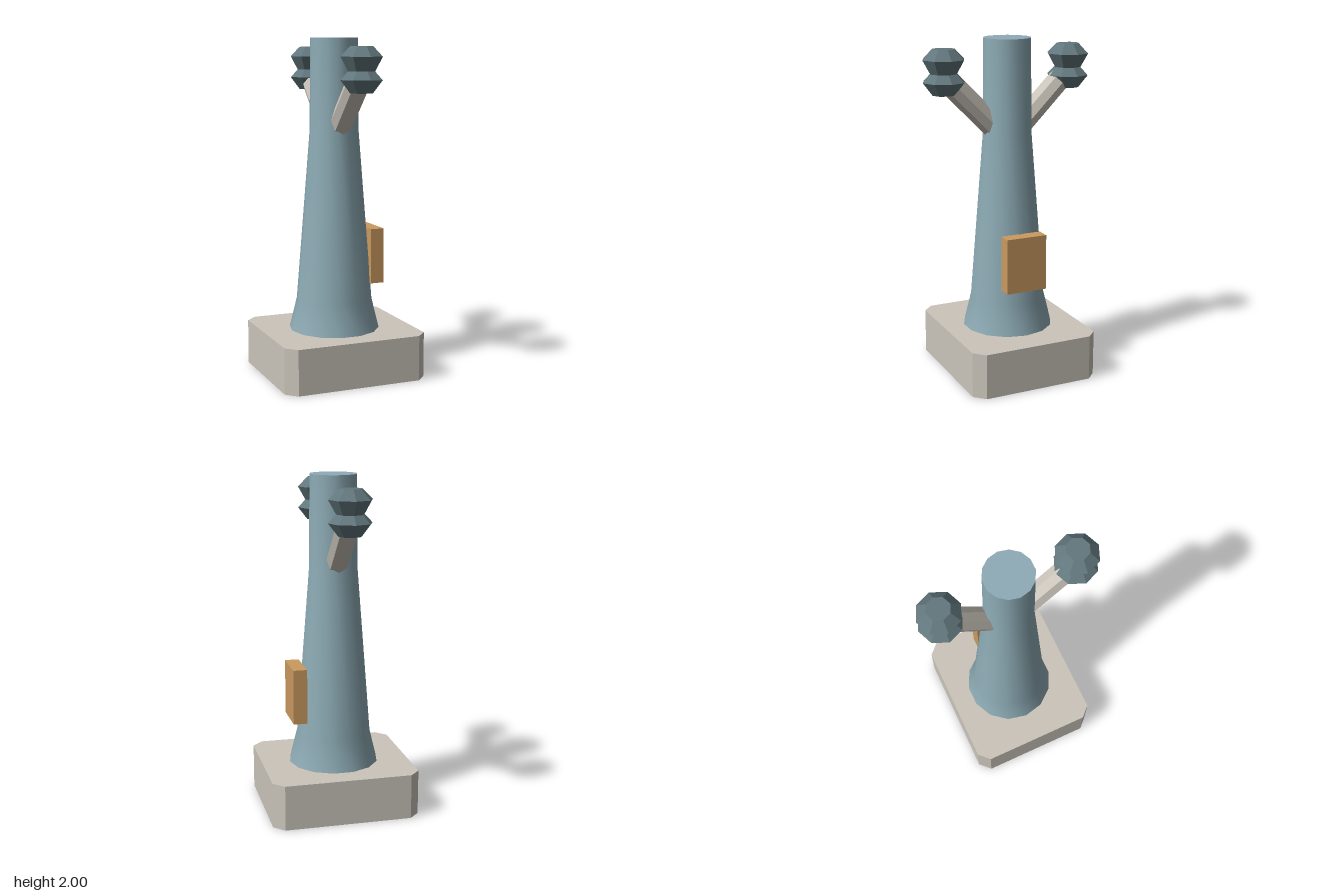
import * as THREE from 'three';

const paint = (name, color, extra = {}) => {
  const m = new THREE.MeshStandardMaterial({ color, ...extra });
  m.name = name;
  return m;
};

export function createModel() {
  const model = new THREE.Group();
  const stone = paint('pale stone', 0xcbc5bb, { flatShading: true });
  const blue = paint('blue grey', 0x8eacb6);
  const dark = paint('dark slate', 0x62777d, { flatShading: true });
  const orange = paint('ochre', 0xcb9a60, { flatShading: true });

  const add = (name, geometry, material, parent = model) => {
    const mesh = new THREE.Mesh(geometry, material);
    mesh.name = name;
    parent.add(mesh);
    return mesh;
  };
  const lathe = (points, sides, start = 0) =>
    new THREE.LatheGeometry(points.map(([r, y]) => new THREE.Vector2(r, y)), sides, start);

  // Plinth: rectangle with chamfered corners
  const w = 0.44, d = 0.395, c = 0.062;
  const outline = new THREE.Shape([
    [w, -d + c], [w, d - c], [w - c, d], [-w + c, d],
    [-w, d - c], [-w, -d + c], [-w + c, -d], [w - c, -d],
  ].map(([x, y]) => new THREE.Vector2(x, y)));
  const plinth = new THREE.ExtrudeGeometry(outline, { depth: 0.27, bevelEnabled: false });
  plinth.rotateX(-Math.PI / 2);
  add('plinth', plinth, stone);

  // Tapered column with flared foot
  add('column', lathe([[0.27, 0.27], [0.226, 0.45], [0.145, 1.46], [0.14, 2]], 14, Math.PI / 2), blue);
  const cap = add('columnTop', new THREE.CircleGeometry(0.14, 14), blue);
  cap.rotation.x = -Math.PI / 2;
  cap.position.y = 2;

  // Box mounted on the side of the column
  add('sideBox', new THREE.BoxGeometry(0.083, 0.33, 0.25), orange).position.set(0.2285, 0.71, 0);

  // Front and back branches, each carrying a double faceted knob
  const knobProfile = [
    [0, 1.692], [0.068, 1.692], [0.125, 1.765], [0.08, 1.812],
    [0.125, 1.892], [0.068, 1.95], [0, 1.95],
  ];
  for (const [side, s] of [['front', 1], ['back', -1]]) {
    const branch = new THREE.Group();
    branch.name = side + 'Branch';
    model.add(branch);

    const arm = add(side + 'Arm', new THREE.CylinderGeometry(0.069, 0.069, 0.368, 8), stone, branch);
    arm.rotation.x = s * Math.PI / 4;
    arm.position.set(0, 1.615, s * 0.215);

    add(side + 'Knob', lathe(knobProfile, 8), dark, branch).position.z = s * 0.394;
  }
  return model;
}
